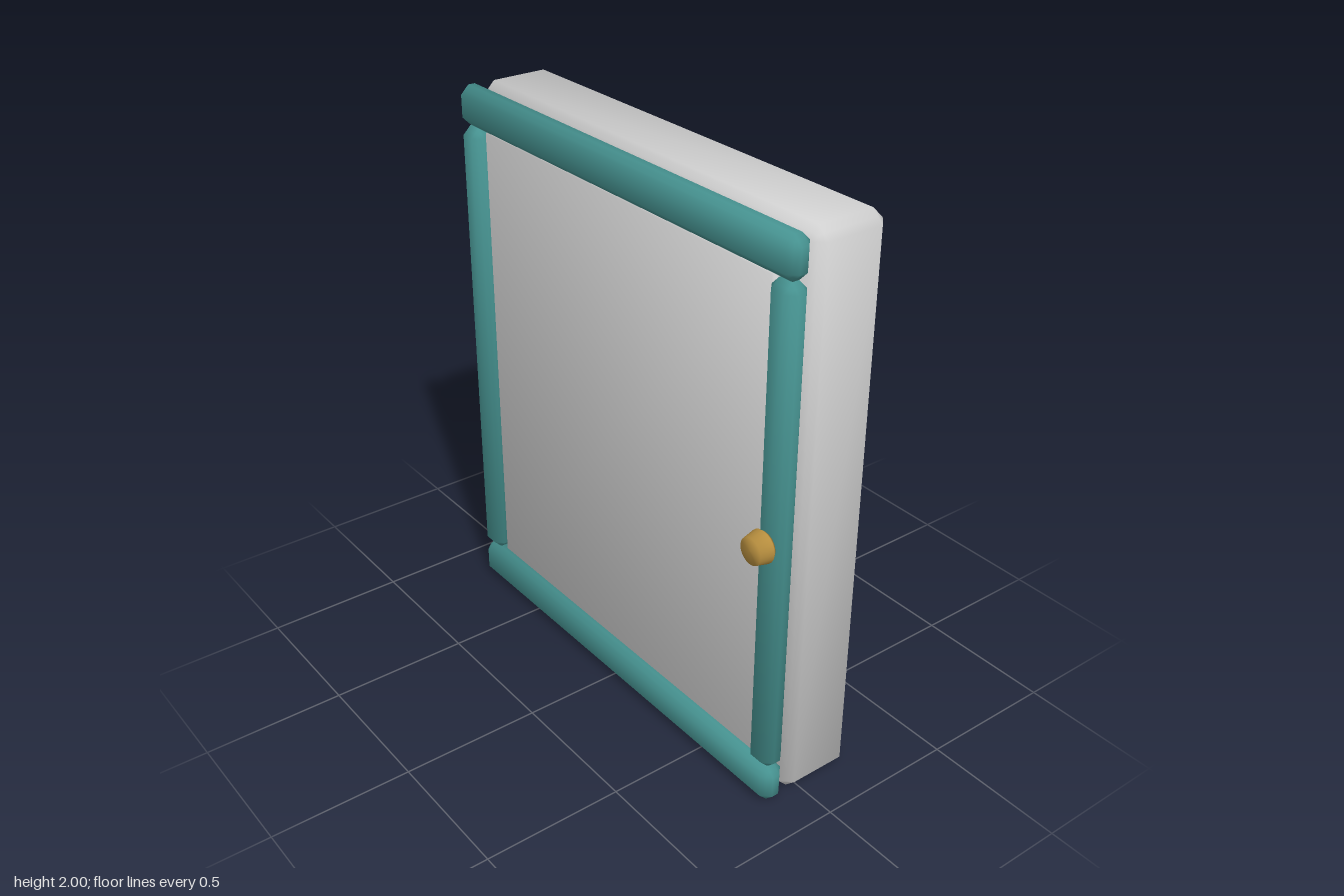
import * as THREE from 'three';

const material = (name, color) => {
  const m = new THREE.MeshStandardMaterial({ color });
  m.name = name;
  return m;
};

// Box with every edge and corner cut off by c, shaded softly across the bevels
function bevelledBox(w, h, d, c) {
  const core = [w / 2 - c, h / 2 - c, d / 2 - c];
  const geometry = new THREE.BoxGeometry(1, 1, 1, 3, 3, 3);
  const { position, normal } = geometry.attributes;
  const n = new THREE.Vector3();
  for (let i = 0; i < position.count; i++) {
    const p = [position.getX(i), position.getY(i), position.getZ(i)];
    const outer = p.map((v) => Math.abs(v) > 0.4);
    const count = outer.filter(Boolean).length;
    // Slide each grid point to a core corner, then push it out onto its bevel
    position.setXYZ(i, ...p.map((v, k) => Math.sign(v) * (core[k] + (outer[k] ? c / count : 0))));
    n.set(...p.map((v, k) => Math.sign(v) * (outer[k] ? (1 + 0.43 * (count - 1)) / count : 0.43)));
    n.normalize();
    normal.setXYZ(i, n.x, n.y, n.z);
  }
  return geometry;
}

export function createModel() {
  const group = new THREE.Group();
  group.name = 'cabinet';
  const grey = material('light grey', 0xd0d0d0);
  const teal = material('teal', 0x469290);
  const gold = material('brass', 0xb88f3f);

  const add = (name, geometry, mat, x, y, z) => {
    const mesh = new THREE.Mesh(geometry, mat);
    mesh.name = name;
    mesh.position.set(x, y, z);
    group.add(mesh);
    return mesh;
  };

  // Cabinet body
  add('body', bevelledBox(1.71, 2, 0.284, 0.04), grey, 0, 1, -0.073);

  // Door panel set inside the frame
  add('doorPanel', bevelledBox(1.49, 1.72, 0.03, 0.01), grey, 0, 1, 0.106);

  // Front frame: full-width rails with stiles between them
  const rail = bevelledBox(1.71, 0.14, 0.086, 0.03);
  add('topRail', rail, teal, 0, 1.93, 0.113);
  add('bottomRail', rail, teal, 0, 0.07, 0.113);
  const stile = bevelledBox(0.112, 1.716, 0.086, 0.03);
  add('leftStile', stile, teal, 0.799, 1, 0.113);
  add('rightStile', stile, teal, -0.799, 1, 0.113);

  // Round tapered knob
  const profile = [[0, 0], [0.047, 0], [0.056, 0.011], [0.046, 0.057], [0, 0.059]]
    .map(([r, y]) => new THREE.Vector2(r, y));
  add('knob', new THREE.LatheGeometry(profile, 20), gold, 0.797, 1.003, 0.156).rotation.x = Math.PI / 2;

  return group;
}
